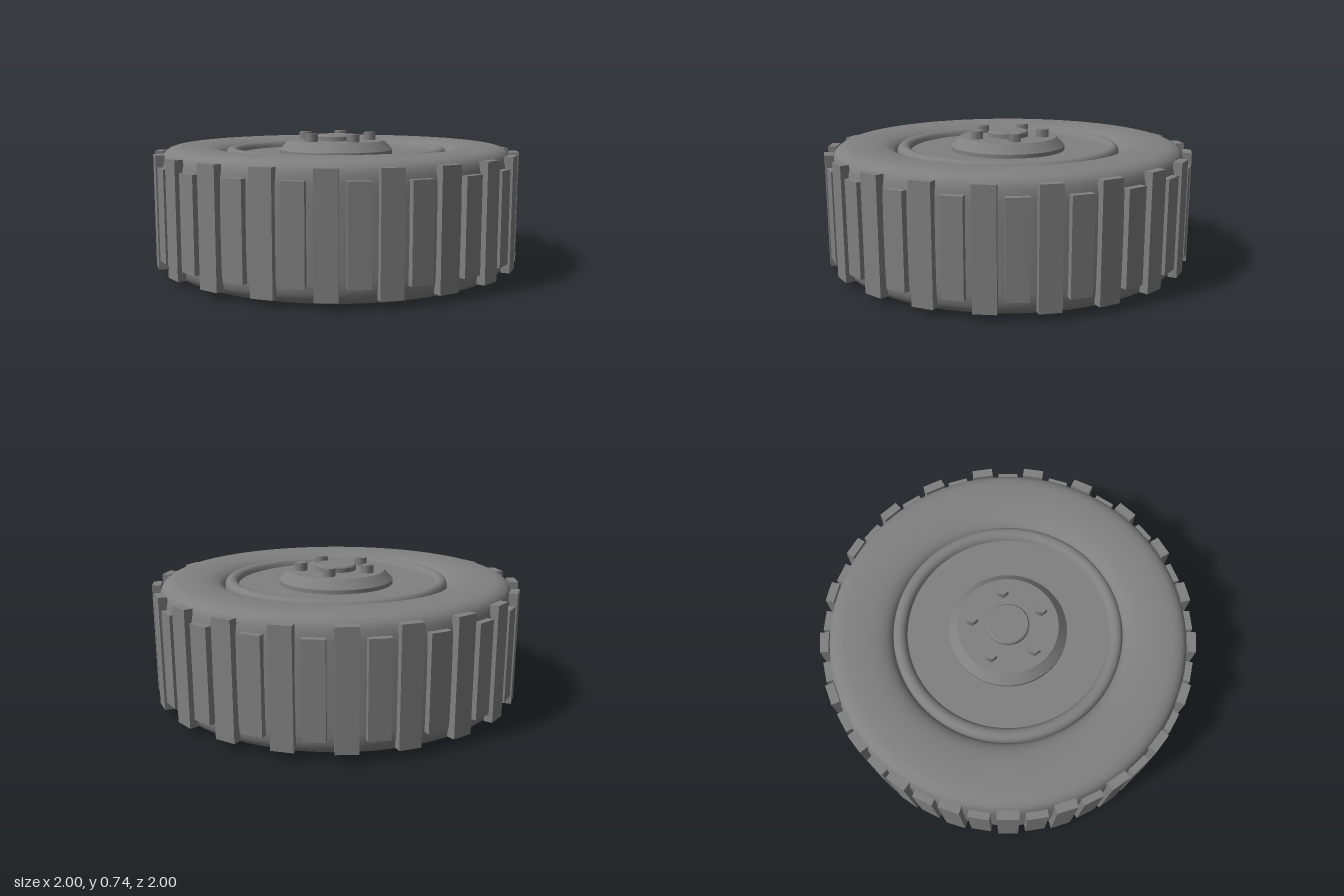
import * as THREE from 'three';
import { toCreasedNormals } from 'three/addons/utils/BufferGeometryUtils.js';

const material = new THREE.MeshStandardMaterial({ color: 0x808080 });

function addMesh(parent, name, geometry) {
  const mesh = new THREE.Mesh(geometry, material);
  mesh.name = name;
  parent.add(mesh);
  return mesh;
}

// Revolve [radius, height] pairs, keeping corners sharp
function turned(points, segments = 96) {
  const profile = points.map(([r, y]) => new THREE.Vector2(r, y));
  return toCreasedNormals(new THREE.LatheGeometry(profile, segments), 0.6);
}

// Ring of tread blocks whose outer faces sit at the given radius
function addLugRing(parent, name, count, offset, outer, width, height) {
  const depth = 0.046;
  const ring = new THREE.Group();
  ring.name = name + 's';
  const geometry = new THREE.BoxGeometry(depth, height, width);
  for (let i = 0; i < count; i++) {
    const angle = ((i + offset) / count) * Math.PI * 2;
    const lug = addMesh(ring, name, geometry);
    const r = outer - depth / 2;
    lug.position.set(Math.cos(angle) * r, 0.34, Math.sin(angle) * r);
    lug.rotation.y = -angle;
  }
  parent.add(ring);
}

export function createModel() {
  const wheel = new THREE.Group();
  wheel.name = 'wheel';

  // Tyre: half of the section, mirrored about its middle height
  const top = 0.675;
  const half = [
    [0.608, 0.1], [0.613, 0.062], [0.632, 0.036], [0.67, 0.016], [0.73, 0.004], [0.8, 0],
    [0.865, 0.002], [0.905, 0.01], [0.933, 0.026], [0.951, 0.05], [0.962, 0.09], [0.966, 0.15],
  ];
  const section = [...half, [0.968, top / 2], ...half.map(([r, y]) => [r, top - y]).reverse()];
  const spline = new THREE.SplineCurve(section.map(([r, y]) => new THREE.Vector2(r, y)));
  addMesh(wheel, 'tyre', new THREE.LatheGeometry(spline.getPoints(72), 96));

  // Tread: long and short blocks alternate
  addLugRing(wheel, 'longLug', 21, 0, 1, 0.112, 0.6);
  addLugRing(wheel, 'shortLug', 21, 0.5, 0.998, 0.11, 0.485);

  // Rim: closed back, rounded bead and flat face
  addMesh(wheel, 'rimBack', turned([[0, 0.06], [0.616, 0.06]]));
  addMesh(wheel, 'rimBead', turned([
    [0.612, 0.58], [0.612, 0.63], [0.606, 0.646], [0.594, 0.657], [0.575, 0.661],
    [0.556, 0.656], [0.543, 0.643], [0.536, 0.62],
  ]));
  addMesh(wheel, 'rimFace', turned([[0.54, 0.624], [0, 0.624]]));

  // Hub: bevelled plate with a round cap
  addMesh(wheel, 'hubPlate', turned([[0.315, 0.615], [0.315, 0.645], [0.268, 0.695], [0, 0.695]], 64));
  addMesh(wheel, 'hubCap', turned([[0.112, 0.69], [0.112, 0.719], [0.105, 0.727], [0, 0.727]], 48));

  // Five hexagonal wheel bolts
  const bolts = new THREE.Group();
  bolts.name = 'wheelBolts';
  const boltShape = new THREE.CylinderGeometry(0.035, 0.035, 0.05, 6);
  for (let i = 0; i < 5; i++) {
    const angle = (i / 5) * Math.PI * 2;
    const bolt = addMesh(bolts, 'wheelBolt', boltShape);
    bolt.position.set(Math.cos(angle) * 0.193, 0.713, Math.sin(angle) * 0.193);
    bolt.rotation.y = Math.PI / 6;
  }
  wheel.add(bolts);

  return wheel;
}
